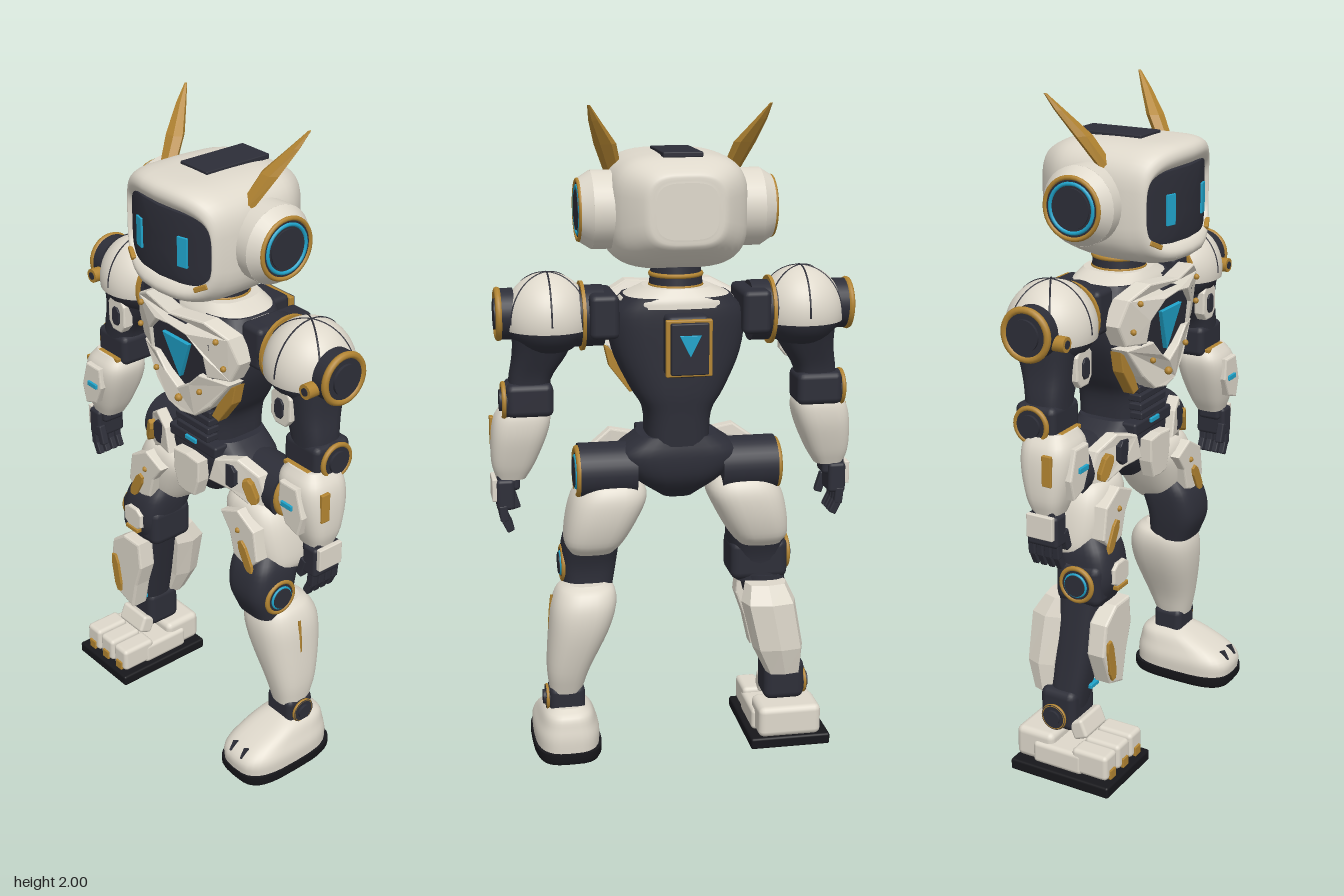
import * as THREE from 'three';
import { RoundedBoxGeometry } from 'three/addons/geometries/RoundedBoxGeometry.js';

export function createModel() {
  const root = new THREE.Group();
  const material = (name, color) => Object.assign(new THREE.MeshStandardMaterial({ color }), { name });
  const white = material('ivory shell', 0xded8cb), dark = material('charcoal', 0x2d2e38);
  const gold = material('gold', 0xb38532), cyan = material('cyan light', 0x20a4cb);
  const black = material('black rubber', 0x17171b), grey = material('grey trim', 0xaaa69d);

  const add = (name, geo, mat, x = 0, y = 0, z = 0, rx = 0, ry = 0, rz = 0) => {
    const m = new THREE.Mesh(geo, mat);
    m.name = name; m.position.set(x, y, z); m.rotation.set(rx, ry, rz);
    root.add(m);
    return m;
  };
  const box = (name, mat, w, h, d, x, y, z, rx = 0, ry = 0, rz = 0) =>
    add(name, new RoundedBoxGeometry(w, h, d, 2, Math.min(w, h, d) * 0.2), mat, x, y, z, rx, ry, rz);
  // cylinder lying along x
  const drum = (name, mat, r, w, x, y, z) =>
    add(name, new THREE.CylinderGeometry(r, r, w, 32), mat, x, y, z, 0, 0, Math.PI / 2);
  const ring = (name, mat, r, t, x, y, z) =>
    add(name, new THREE.TorusGeometry(r, t, 8, 32), mat, x, y, z, 0, Math.PI / 2);

  // superellipse sections [x, y, z, halfX, halfZ], listed upwards
  function loft(rows, { p = 2.5, n = 32, steps = 4, flat = false } = {}) {
    const curve = a => new THREE.CatmullRomCurve3(a, false, 'catmullrom', 0.5);
    const mid = curve(rows.map(r => new THREE.Vector3(r[0], r[1], r[2])));
    const half = curve(rows.map(r => new THREE.Vector3(r[3], r[4], 0)));
    const N = (rows.length - 1) * steps, pos = [], idx = [];
    const pw = v => Math.sign(v) * Math.pow(Math.abs(v), 2 / p);
    const section = t => {
      const c = mid.getPoint(t), h = half.getPoint(t);
      for (let i = 0; i < n; i++) {
        const a = (i / n) * Math.PI * 2;
        pos.push(c.x + h.x * pw(Math.cos(a)), c.y, c.z + h.y * pw(Math.sin(a)));
      }
      return c;
    };
    for (let j = 0; j <= N; j++) section(j / N);
    for (let j = 0; j < N; j++) for (let i = 0; i < n; i++) {
      const a = j * n + i, b = j * n + (i + 1) % n;
      idx.push(a, a + n, b, b, a + n, b + n);
    }
    for (const t of [0, 1]) {
      const start = pos.length / 3, c = section(t);
      pos.push(c.x, c.y, c.z);
      for (let i = 0; i < n; i++) {
        const a = start + i, b = start + (i + 1) % n;
        if (t) idx.push(start + n, b, a); else idx.push(start + n, a, b);
      }
    }
    let g = new THREE.BufferGeometry();
    g.setAttribute('position', new THREE.Float32BufferAttribute(pos, 3));
    g.setIndex(idx);
    if (flat) g = g.toNonIndexed();
    g.computeVertexNormals();
    return g;
  }
  const warp = (g, f) => {
    const a = g.attributes.position;
    for (let i = 0; i < a.count; i++) a.setZ(i, f(a.getX(i), a.getY(i), a.getZ(i)));
    g.computeVertexNormals();
    return g;
  };
  // bevelled outline in the xy plane, its back at z
  const plateGeo = (pts, depth, z, bevel = 0.005) => new THREE.ExtrudeGeometry(
    new THREE.Shape(pts.map(q => new THREE.Vector2(q[0], q[1]))),
    { depth, bevelEnabled: bevel > 0, bevelSize: bevel, bevelThickness: bevel, bevelSegments: 2 }).translate(0, 0, z);
  const flip = (pts, s) => pts.map(q => [q[0] * s, q[1]]);
  const both = pts => pts.concat(flip(pts, -1).reverse().filter(q => q[0] !== 0));
  const oct = (x, y, w, h) => [[-.5, -.3], [-.25, -.5], [.25, -.5], [.5, -.3], [.5, .3], [.25, .5], [-.25, .5], [-.5, .3]]
    .map(q => [x + q[0] * w, y + q[1] * h]);
  // round joint cover facing sideways
  const joint = (name, s, x, y, z, r, lit) => {
    drum(name + 'Drum', dark, r, 0.05, s * (x - 0.02), y, z);
    ring(name + 'Ring', gold, r * 0.92, r * 0.14, s * x, y, z);
    drum(name + 'Cap', dark, r * 0.6, 0.02, s * (x + 0.003), y, z);
    if (lit) ring(name + 'Light', cyan, r * 0.62, r * 0.08, s * (x + 0.006), y, z);
  };

  // head: lofted from back to front, face wrapped around x
  const wrap = (x, y, z) => z - 0.055 * (x / 0.2) ** 2 * THREE.MathUtils.clamp((z - 0.08) / 0.13, 0, 1);
  const headLoft = (rows, p) => warp(loft(rows.map(([z, y, w, h]) => [0, z, -y, w, h]), { p, n: 48 }).rotateX(Math.PI / 2), wrap);
  add('helmet', headLoft([[-.19, 1.71, .09, .08], [-.18, 1.71, .125, .11], [-.1, 1.7, .19, .155], [0, 1.692, .208, .17],
    [.1, 1.69, .212, .172], [.19, 1.69, .208, .17], [.232, 1.69, .2, .158], [.243, 1.688, .188, .135],
    [.23, 1.686, .182, .112], [.21, 1.686, .178, .106]], 3.4), white);
  add('faceScreen', headLoft([[.2, 1.686, .18, .105], [.225, 1.686, .178, .104], [.229, 1.686, .17, .098],
    [.231, 1.686, .12, .07], [.232, 1.686, .06, .035], [.232, 1.686, .005, .004]], 5), dark);
  box('chinBar', grey, .16, .022, .02, 0, 1.547, .222);
  box('headHatch', dark, .115, .015, .225, 0, 1.862, -.008);
  add('neck', new THREE.CylinderGeometry(.072, .085, .12, 32), dark, 0, 1.485, 0);
  for (const y of [1.475, 1.508]) add('neckRing', new THREE.TorusGeometry(.075, .007, 8, 32), gold, 0, y, 0, Math.PI / 2);

  // torso
  add('torso', loft([[0, 1.0, -.005, .095, .1], [0, 1.1, -.005, .1, .105], [0, 1.17, 0, .14, .115], [0, 1.28, .01, .19, .125],
    [0, 1.39, .01, .2, .125], [0, 1.45, 0, .16, .11]], { p: 3.2 }), dark);
  add('collar', loft([[0, 1.42, 0, .175, .12], [0, 1.445, 0, .165, .115], [0, 1.475, 0, .1, .095]], { p: 2.6 }), white);
  const chest = (x, y, z) => z - 1.2 * x * x - Math.max(0, 1.4 - y) * .14;
  add('upperChestPlate', warp(plateGeo(both([[0, 1.425], [.07, 1.415], [.125, 1.36], [.13, 1.295], [.195, 1.3], [.225, 1.36],
    [.2, 1.43], [.13, 1.465], [0, 1.455]]), .045, .15), chest), white);
  add('lowerChestPlate', warp(plateGeo(both([[0, 1.205], [.055, 1.24], [.1, 1.285], [.19, 1.28], [.12, 1.19],
    [.06, 1.14], [0, 1.13]]), .045, .15), chest), white);
  add('chestCore', warp(plateGeo(both([[0, 1.18], [.14, 1.27], [.14, 1.4], [0, 1.44]]), .06, .11, 0),
    (x, y, z) => z - Math.max(0, 1.4 - y) * .14), dark);
  add('chestLight', warp(plateGeo([[-.058, 1.37], [0, 1.245], [.058, 1.37]], .012, .172, .002), chest), cyan);
  add('chestBolt', new THREE.SphereGeometry(.012, 12, 8), gold, 0, 1.175, .168);
  for (let i = 0; i < 4; i++) box('abdomenRib', dark, .17 - i * .008, .022, .05, 0, 1.13 - i * .029, .095);
  box('backpackMount', dark, .09, .12, .06, 0, 1.325, -.12);
  box('backpack', dark, .125, .18, .075, 0, 1.325, -.168);
  box('backpackFrame', gold, .135, .165, .018, 0, 1.325, -.21);
  box('backpackCover', dark, .11, .15, .022, 0, 1.325, -.222);
  add('backpackLight', plateGeo([[-.03, .03], [0, -.03], [.03, .03]], .006, 0, .001), cyan, 0, 1.335, -.232, 0, Math.PI);

  // pelvis
  add('pelvis', loft([[0, .835, .01, .05, .06], [0, .9, 0, .14, .1], [0, .97, 0, .19, .11], [0, 1.03, 0, .12, .1]], { p: 3 }), dark);
  box('belt', dark, .22, .04, .05, 0, 1.01, .095);
  box('beltLight', cyan, .05, .014, .01, 0, 1.018, .122);
  add('pelvisPlate', plateGeo(both([[0, .845], [.035, .85], [.052, .9], [.055, .965], [0, .97]]), .035, .105), white);

  for (const s of [1, -1]) {
    const limb = (name, mat, rows, o) => add(name, loft(rows.map(r => [r[0] * s, ...r.slice(1)]), o), mat);
    const plate = (name, mat, pts, depth, z, bevel) => add(name, plateGeo(flip(pts, s), depth, z, bevel), mat);

    // head sides
    box('eye', cyan, .034, .088, .008, s * .095, 1.68, .221, 0, s * .25);
    box('faceCorner', gold, .045, .014, .014, s * .155, 1.59, .206, 0, s * .4, s * .45);
    drum('earPod', white, .114, .06, s * .22, 1.697, .015);
    add('earShell', new THREE.CylinderGeometry(.092, .114, .035, 32), white, s * .267, 1.697, .015, 0, 0, -s * Math.PI / 2);
    drum('earDish', dark, .085, .006, s * .284, 1.697, .015);
    ring('earRing', gold, .086, .007, s * .285, 1.697, .015);
    ring('earLight', cyan, .069, .006, s * .286, 1.697, .015);
    drum('earCap', dark, .058, .012, s * .286, 1.697, .015);
    limb('antenna', gold, [[.172, 1.79, .065, .026, .022], [.205, 1.885, .005, .033, .024], [.242, 1.955, -.047, .017, .014],
      [.262, 2, -.08, .004, .004]], { n: 6, p: 2, steps: 1, flat: true });

    // chest sides
    plate('chestTrim', gold, [[.2, 1.275], [.185, 1.215], [.125, 1.135], [.1, 1.14], [.16, 1.25]], .03, .09, .003);
    for (const [x, y, z] of [[.17, 1.42, .168], [.19, 1.34, .157], [.1, 1.235, .171]])
      add('chestStud', new THREE.SphereGeometry(.009, 10, 8), gold, s * x, y, z);
    box('shoulderBlock', dark, .085, .13, .2, s * .225, 1.4, -.01);
    drum('shoulderAxle', dark, .09, .09, s * .265, 1.39, 0);
    drum('shoulderCollar', gold, .102, .01, s * .282, 1.39, 0);

    // shoulder dome with seams
    add('shoulderDome', new THREE.SphereGeometry(.13, 40, 20, 0, Math.PI * 2, 0, Math.PI * .55), white, s * .38, 1.38, .005).scale.y = 1.08;
    add('shoulderBase', new THREE.SphereGeometry(.122, 32, 20), dark, s * .38, 1.38, .005).scale.y = .85;
    for (let k = 0; k < 3; k++)
      add('domeSeam', new THREE.TorusGeometry(.1295, .0028, 6, 32, Math.PI), dark, s * .38, 1.38, .005, 0, Math.PI / 6 + k * Math.PI / 3).scale.y = 1.08;
    joint('shoulderJoint', s, .525, 1.4, .015, .075);
    add('shoulderBolt', new THREE.CylinderGeometry(.022, .022, .04, 16), gold, s * .485, 1.378, .1, Math.PI / 2);
    add('shoulderBoltCap', new THREE.CylinderGeometry(.012, .012, .044, 16), dark, s * .485, 1.378, .1, Math.PI / 2);

    // arm
    limb('upperArm', dark, [[.44, 1.11, .03, .062, .06], [.435, 1.2, .03, .062, .06], [.405, 1.28, .02, .08, .075],
      [.385, 1.37, .01, .1, .1]], { p: 3 });
    plate('armPlate', white, oct(.378, 1.285, .07, .105), .025, .08);
    plate('armSlot', dark, oct(.376, 1.28, .03, .055), .006, .108, .002);
    box('elbow', dark, .14, .1, .13, s * .44, 1.145, .025);
    joint('elbowJoint', s, .515, 1.14, .02, .054);
    box('elbowTrim', gold, .1, .012, .02, s * .44, 1.115, .095);
    limb('forearm', white, [[.495, .89, .065, .045, .042], [.487, .94, .063, .066, .06], [.47, 1.02, .06, .083, .078],
      [.458, 1.08, .058, .084, .078], [.452, 1.12, .052, .062, .06]], { p: 3 });
    plate('forearmPlate', white, [[.43, 1.08], [.49, 1.08], [.515, 1.0], [.5, .945], [.455, .96], [.425, 1.02]], .03, .115);
    box('forearmLight', cyan, .045, .016, .01, s * .46, 1.02, .152);
    box('forearmTrim', gold, .012, .09, .03, s * .548, 1.03, .09);

    // hand
    box('wrist', dark, .07, .06, .075, s * .505, .885, .065);
    box('palm', dark, .055, .095, .1, s * .515, .845, .065);
    box('handGuard', white, .016, .07, .085, s * .547, .86, .065);
    for (let i = 0; i < 4; i++) {
      box('finger', dark, .026, .05, .022, s * .522, .788, .025 + i * .026, 0, 0, s * -.1);
      box('fingertip', dark, .024, .042, .02, s * .51, .75, .025 + i * .026, 0, 0, s * -.45);
    }
    box('thumb', dark, .024, .065, .024, s * .485, .81, .105, 0, 0, s * -.3);

    // hip
    drum('hipAxle', dark, .085, .17, s * .215, .92, -.015);
    joint('hipJoint', s, .302, .92, -.02, .076, true);
    const hip = [[.1, .93], [.12, 1.0], [.19, 1.02], [.25, .98], [.275, .9], [.24, .875], [.17, .92]];
    add('hipPlate', warp(plateGeo(flip(hip, s), .03, .11), (x, y, z) => z - 1.1 * (x * x)), white);
    plate('hipInlay', dark, oct(.165, .965, .05, .07), .016, .1, .002);
    add('hipAccent', plateGeo(oct(0, 0, .028, .075), .015, 0, .003), gold, s * .235, .935, .085, 0, s * .4, s * .4);

    // thigh and knee
    limb('thigh', white, [[.262, .665, .0, .065, .06], [.255, .7, .0, .09, .09], [.232, .77, -.002, .108, .108],
      [.208, .84, -.002, .114, .11], [.2, .885, 0, .09, .09], [.2, .9, 0, .05, .05]], { p: 2.8 });
    plate('thighPlate', white, [[.15, .84], [.22, .87], [.29, .83], [.305, .74], [.27, .7], [.21, .72], [.19, .79]], .04, .085);
    add('thighAccent', plateGeo(oct(0, 0, .03, .1), .006, 0, .002), gold, s * .265, .735, .13, 0, 0, s * .5);
    add('thighStud', new THREE.SphereGeometry(.009, 10, 8), gold, s * .225, .81, .13);
    limb('lowerThigh', dark, [[.27, .53, .055, .075, .07], [.265, .61, .068, .085, .085], [.258, .69, .05, .085, .09],
      [.25, .74, .03, .07, .075]], { p: 3.2 });
    joint('kneeJoint', s, s > 0 ? .345 : .36, .605, .065, .055, true);
  }

  // left leg: smooth calf and shoe
  add('leftCalf', loft([[.347, .21, .015, .05, .055], [.337, .29, .01, .067, .078], [.305, .41, .008, .092, .104],
    [.288, .49, .01, .1, .108], [.28, .54, .014, .088, .09], [.28, .56, .015, .06, .06]]), white);
  add('leftCalfSeam', new THREE.TubeGeometry(new THREE.CatmullRomCurve3([[.384, .52, .02], [.391, .45, .02], [.393, .38, .02],
    [.398, .29, .018]].map(v => new THREE.Vector3(...v))), 20, .005, 6), gold);
  box('leftAnkle', dark, .11, .1, .1, .345, .18, .015);
  joint('leftAnkleJoint', 1, .405, .185, .015, .038);
  add('leftShoe', loft([[.343, .03, .072, .1, .168], [.343, .075, .072, .101, .168], [.343, .11, .055, .09, .145],
    [.343, .145, .02, .075, .1], [.343, .165, .01, .05, .06]], { p: 3 }), white);
  add('leftSole', loft([[.343, 0, .07, .1, .168], [.343, .012, .07, .106, .174], [.343, .036, .07, .106, .174]], { p: 3.4, steps: 1 }), black);
  for (const x of [.318, .368]) box('toeSlit', dark, .006, .035, .03, x, .095, .215, -.5);

  // right leg: armoured shin and three-toed foot
  add('rightShinCore', loft([[-.35, .2, .03, .055, .05], [-.32, .35, .04, .06, .06], [-.28, .55, .05, .07, .07]], { p: 3 }), dark);
  box('rightKneeBlock', dark, .18, .13, .15, -.265, .6, .06);
  add('rightKneePlate', plateGeo(oct(-.26, .625, .075, .065), .02, .135), white);
  box('rightKneeTrim', gold, .06, .014, .02, -.26, .585, .155);
  add('rightShinPlate', plateGeo([[-.3, .53], [-.23, .53], [-.222, .45], [-.25, .37], [-.27, .28], [-.33, .3], [-.37, .4],
    [-.355, .49]], .045, .115, .007), white);
  add('rightShinAccent', plateGeo(oct(0, 0, .03, .13), .006, 0, .002), gold, -.34, .375, .167, 0, 0, .18);
  add('rightCalfPlate', loft([[-.335, .24, -.04, .055, .04], [-.315, .33, -.05, .08, .055], [-.285, .48, -.04, .085, .065],
    [-.28, .535, -.02, .065, .05]], { n: 8, p: 3.2, steps: 1, flat: true }), white);
  box('rightAnkle', dark, .13, .13, .12, -.345, .2, .02);
  box('rightAnkleLight', cyan, .045, .014, .02, -.315, .265, .09);
  joint('rightAnkleJoint', -1, .415, .18, .015, .04);
  box('rightSole', black, .255, .036, .338, -.352, .018, .068);
  box('rightHeel', white, .2, .1, .13, -.35, .085, -.035);
  box('rightInstep', white, .22, .07, .17, -.35, .07, .05);
  box('rightAnkleGuard', white, .12, .06, .05, -.345, .15, .09, -.4);
  for (const x of [-.424, -.35, -.276]) {
    box('rightToe', white, .068, .08, .12, x, .08, .16);
    box('rightToeTrim', gold, .03, .03, .01, x, .056, .221);
  }
  return root;
}
